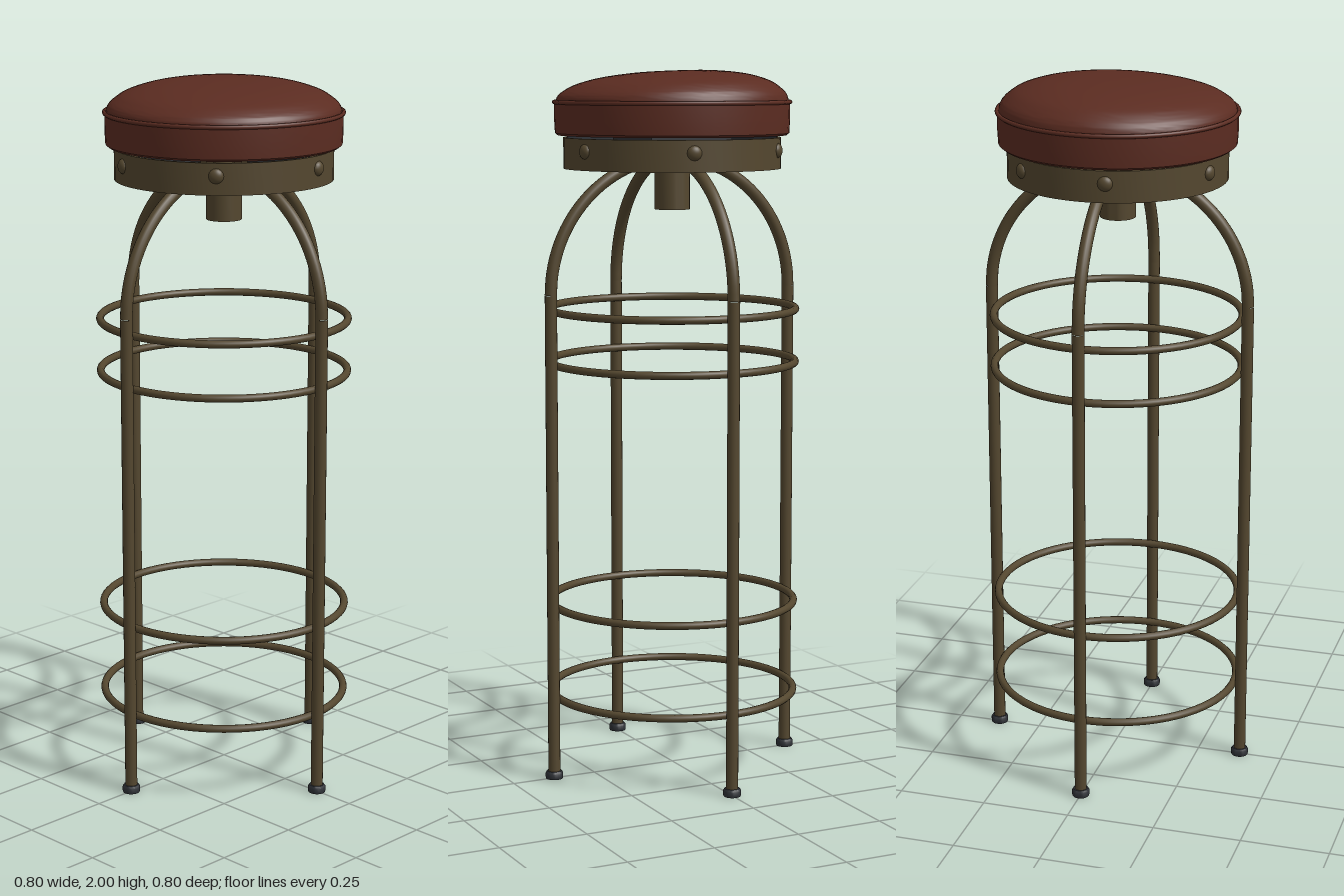
import * as THREE from 'three';
import { toCreasedNormals } from 'three/addons/utils/BufferGeometryUtils.js';

function makeMaterial(name, color) {
  const m = new THREE.MeshStandardMaterial({ color });
  m.name = name;
  return m;
}

export function createModel() {
  const metal = makeMaterial('aged bronze', 0x54472f);
  const leather = makeMaterial('brown leather', 0x5b2c21);
  const dark = makeMaterial('dark iron', 0x2e3136);

  const model = new THREE.Group();
  model.name = 'barStool';

  const add = (name, geometry, material, parent = model) => {
    const mesh = new THREE.Mesh(geometry, material);
    mesh.name = name;
    parent.add(mesh);
    return mesh;
  };
  const lathe = (points, segments = 64) => toCreasedNormals(
    new THREE.LatheGeometry(points.map(([x, y]) => new THREE.Vector2(x, y)), segments), 0.7);

  // Legs: straight tubes that arch over to the central hub
  const legRadius = 0.375, bendY = 1.38, tube = 0.017;
  const arch = new THREE.CatmullRomCurve3(Array.from({ length: 13 }, (_, i) => {
    const a = (i / 12) * Math.PI / 2;
    return new THREE.Vector3(legRadius * Math.cos(a), bendY + legRadius * Math.sin(a), 0);
  }));
  for (let i = 0; i < 4; i++) {
    const leg = new THREE.Group();
    leg.name = 'leg' + (i + 1);
    leg.rotation.y = i * Math.PI / 2;
    model.add(leg);
    const height = bendY - 0.01;
    add('legTube', new THREE.CylinderGeometry(tube, tube, height, 16, 1, true), metal, leg)
      .position.set(legRadius, 0.01 + height / 2, 0);
    add('legArch', new THREE.TubeGeometry(arch, 28, tube, 16), metal, leg);
    add('footCap', lathe([[0, 0], [0.024, 0], [0.025, 0.004], [0.025, 0.016], [0.021, 0.022], [0, 0.022]], 20), dark, leg)
      .position.x = legRadius;
  }

  // Footrest and brace rings
  for (const y of [0.225, 0.487, 1.18, 1.33]) {
    const ring = add('braceRing', new THREE.TorusGeometry(0.35, 0.011, 12, 72), metal);
    ring.rotation.x = Math.PI / 2;
    ring.position.y = y;
  }

  // Hollow hub with the swivel shaft and mounting plate
  add('hub', lathe([[0.036, 1.64], [0.036, 1.61], [0.05, 1.61], [0.05, 1.77], [0, 1.77]], 32), metal);
  add('hubCore', new THREE.CylinderGeometry(0.036, 0.036, 0.02, 24), metal).position.y = 1.645;
  add('swivelShaft', new THREE.CylinderGeometry(0.03, 0.03, 0.05, 24), metal).position.y = 1.785;
  add('mountingPlate', new THREE.BoxGeometry(0.25, 0.015, 0.25), dark).position.y = 1.811;

  // Metal skirt below the cushion, with a dark inner wall
  add('skirt', lathe([[0.297, 1.725], [0.306, 1.725], [0.306, 1.812], [0.297, 1.812]]), metal);
  add('skirtLining', lathe([[0.297, 1.812], [0.297, 1.725]]), dark);

  // Domed bolts around the skirt
  for (const degrees of [12, 75, 138, 190, 250, 311]) {
    const a = THREE.MathUtils.degToRad(degrees);
    const bolt = add('skirtBolt', new THREE.SphereGeometry(0.021, 16, 8, 0, Math.PI * 2, 0, Math.PI / 2)
      .scale(1, 0.7, 1).rotateX(Math.PI / 2), metal);
    bolt.position.set(0.303 * Math.sin(a), 1.777, 0.303 * Math.cos(a));
    bolt.rotation.y = a;
  }

  // Cushion: upright side band, seam piping and a gently uneven dome
  add('cushionBand', lathe([[0, 1.818], [0.322, 1.818], [0.329, 1.824], [0.331, 1.86], [0.331, 1.908]]), leather);
  const piping = add('seamPiping', new THREE.TorusGeometry(0.331, 0.006, 10, 72), leather);
  piping.rotation.x = Math.PI / 2;
  piping.position.y = 1.91;

  const profile = new THREE.SplineCurve([[0.328, 1.908], [0.322, 1.928], [0.305, 1.945], [0.27, 1.965], [0.2, 1.984],
    [0.1, 1.995], [0, 1.997]].map(([x, y]) => new THREE.Vector2(x, y)));
  const points = profile.getPoints(28);
  points[points.length - 1].x = 0;
  const dome = new THREE.LatheGeometry(points, 64);
  const p = dome.attributes.position;
  for (let i = 0; i < p.count; i++) {
    const weight = Math.max(0, (p.getY(i) - 1.91) / 0.09);
    p.setY(i, Math.min(2, p.getY(i) + 0.03 * weight * (p.getX(i) - p.getZ(i))));
  }
  add('cushionTop', toCreasedNormals(dome, 0.8), leather);

  return model;
}
